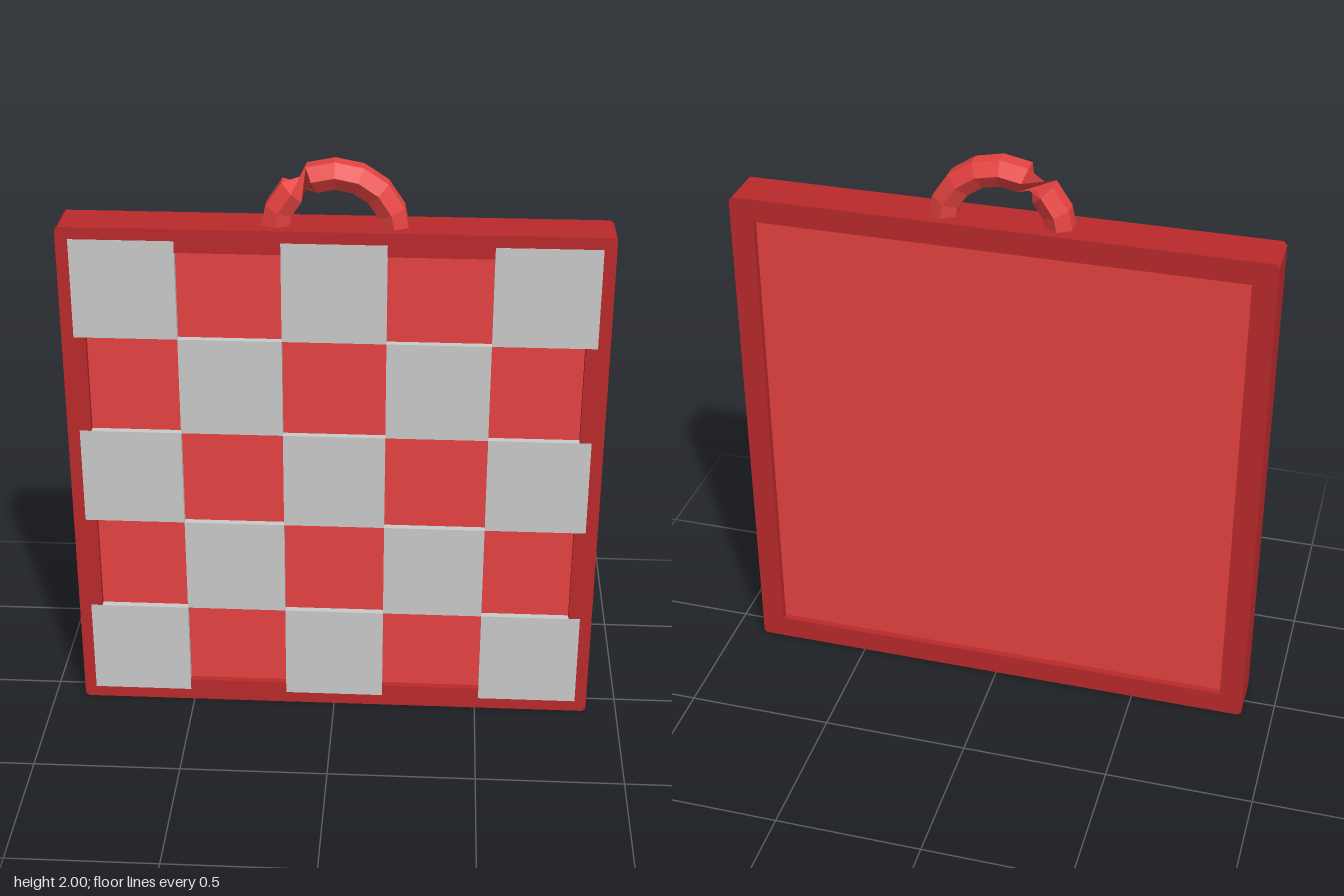
import * as THREE from 'three';

const material = (color, extra = {}) => {
  const m = new THREE.MeshStandardMaterial({ flatShading: true, ...extra });
  m.color.set(color);
  return m;
};

function add(parent, name, geometry, mat, x = 0, y = 0, z = 0) {
  const mesh = new THREE.Mesh(geometry, mat);
  mesh.name = name;
  mesh.position.set(x, y, z);
  parent.add(mesh);
  return mesh;
}

// Hexagonal tube bent into a half ring, with one segment given a half turn
function handleGeometry(R, r, segments, twistAt) {
  const sides = 6, positions = [], index = [];
  for (let i = 0; i <= segments; i++) {
    const t = (i / segments) * Math.PI;
    for (let j = 0; j < sides; j++) {
      const p = (j / sides) * Math.PI * 2;
      const d = R + r * Math.sin(p);
      positions.push(d * Math.cos(t), d * Math.sin(t), r * Math.cos(p));
    }
  }
  for (let i = 0; i < segments; i++) {
    const turn = i === twistAt ? sides / 2 : 0;
    for (let j = 0; j < sides; j++) {
      const k = (j + 1) % sides;
      const a = i * sides + j, b = i * sides + k;
      const c = (i + 1) * sides + ((k + turn) % sides);
      const d = (i + 1) * sides + ((j + turn) % sides);
      index.push(a, b, c, a, c, d);
    }
  }
  const g = new THREE.BufferGeometry();
  g.setAttribute('position', new THREE.Float32BufferAttribute(positions, 3));
  g.setIndex(index);
  const flat = g.toNonIndexed();
  flat.computeVertexNormals();
  return flat;
}

export function createModel() {
  const group = new THREE.Group();
  group.name = 'checkeredBoard';
  const darkRed = material(0xbb2a2c);
  const red = material(0xe74341);
  const grey = material(0xcccccc);

  const half = 0.893, midY = 0.894, depth = 0.16, open = 0.813, cut = 0.012;

  // Square frame with slightly clipped corners
  const outline = new THREE.Shape();
  const e = half - cut;
  [[-e, -half], [e, -half], [half, -e], [half, e], [e, half], [-e, half], [-half, e], [-half, -e]]
    .forEach(([x, y], i) => (i ? outline.lineTo(x, y) : outline.moveTo(x, y)));
  outline.closePath();
  const hole = new THREE.Path();
  hole.moveTo(-open, -open).lineTo(-open, open).lineTo(open, open).lineTo(open, -open).closePath();
  outline.holes.push(hole);
  const frame = new THREE.ExtrudeGeometry(outline, { depth, bevelEnabled: false });
  add(group, 'frame', frame, darkRed, 0, midY, -depth / 2);

  // Recessed panel filling the frame
  add(group, 'panel', new THREE.BoxGeometry(open * 2, open * 2, 0.114), red, 0, midY, 0);

  // Alternating raised tiles on the front
  const tiles = new THREE.Group();
  tiles.name = 'tiles';
  const pitch = 0.341;
  const tile = new THREE.BoxGeometry(pitch, pitch, 0.03);
  for (let row = -2; row <= 2; row++) {
    for (let col = -2; col <= 2; col++) {
      if ((row + col) % 2 === 0) add(tiles, 'tile', tile, grey, col * pitch, midY + row * pitch, 0.066);
    }
  }
  group.add(tiles);

  // Carrying handle, ends sunk into the top of the frame
  const handleRed = material(0xe74341, { side: THREE.DoubleSide });
  add(group, 'handle', handleGeometry(0.195, 0.052, 8, 5), handleRed, 0, 1.76, 0);

  return group;
}
